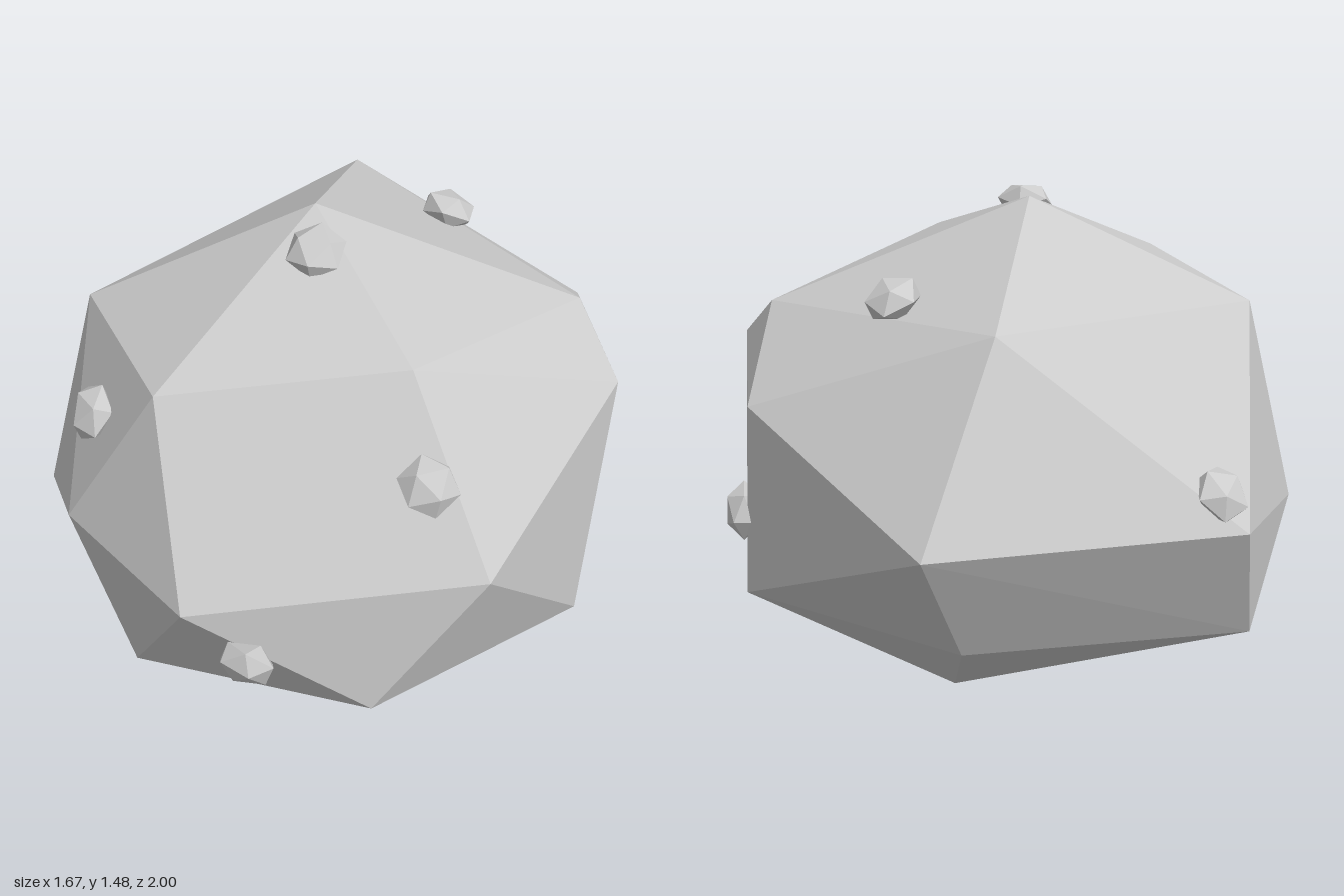
import * as THREE from 'three';
import { ConvexGeometry } from 'three/addons/geometries/ConvexGeometry.js';

const v = (p) => new THREE.Vector3(...p);

// Corners of the faceted boulder, from crown to base
const CORNERS = [
  [-0.06, 1.47, 0.02], [0.34, 1.28, 0.455], [-0.125, 1.23, -0.65], [-0.32, 1.2, 0.66],
  [0.68, 1.16, -0.18], [-0.7, 1.15, 0.19],
  [0.835, 1.01, -0.01], [0.63, 0.94, -0.53], [0.63, 0.815, 0.71], [-0.6, 0.73, 0.68],
  [-0.015, 0.715, -1], [-0.16, 0.71, 0.96], [-0.8, 0.68, -0.51], [-0.84, 0.505, 0.29],
  [0.34, 0.37, 0.83], [0.68, 0.34, -0.48], [-0.05, 0.34, -0.74],
  [-0.79, 0.285, -0.28], [0.8, 0.27, 0.165], [-0.43, 0.2, 0.68],
  [0.08, 0.045, -0.345], [0.105, 0, 0.24],
].map(v);

// Centres of the small nodules on the surface
const NODULES = [
  [-0.01, 1.42, 0.18], [-0.56, 1.01, 0.545], [0.43, 1.03, 0.615], [0.015, 0.56, 0.935],
  [0.23, 1.25, -0.41], [0.69, 0.59, -0.45], [-0.715, 0.78, -0.485],
].map(v);

// Normal of the hull face lying closest to a point
function surfaceNormal(geometry, point) {
  const pos = geometry.attributes.position;
  const [a, b, c] = [0, 1, 2].map(() => new THREE.Vector3());
  const plane = new THREE.Plane();
  const normal = new THREE.Vector3();
  let best = -Infinity;
  for (let i = 0; i < pos.count; i += 3) {
    a.fromBufferAttribute(pos, i);
    b.fromBufferAttribute(pos, i + 1);
    c.fromBufferAttribute(pos, i + 2);
    plane.setFromCoplanarPoints(a, b, c);
    const d = plane.distanceToPoint(point);
    if (d > best) {
      best = d;
      normal.copy(plane.normal);
    }
  }
  return normal;
}

export function createModel() {
  const model = new THREE.Group();
  model.name = 'rock';
  const material = new THREE.MeshStandardMaterial({ color: 0xcccccc, flatShading: true });

  // Boulder
  const boulderGeometry = new ConvexGeometry(CORNERS);
  const boulder = new THREE.Mesh(boulderGeometry, material);
  boulder.name = 'boulder';
  model.add(boulder);

  // Nodules: icosahedra flattened against the boulder
  const noduleGeometry = new THREE.IcosahedronGeometry(0.088, 0);
  noduleGeometry.scale(1, 0.65, 1);
  const up = new THREE.Vector3(0, 1, 0);
  NODULES.forEach((centre, i) => {
    const nodule = new THREE.Mesh(noduleGeometry, material);
    nodule.name = `nodule${i + 1}`;
    nodule.position.copy(centre);
    nodule.quaternion.setFromUnitVectors(up, surfaceNormal(boulderGeometry, centre));
    nodule.rotateY(i * 1.3);
    model.add(nodule);
  });

  return model;
}
